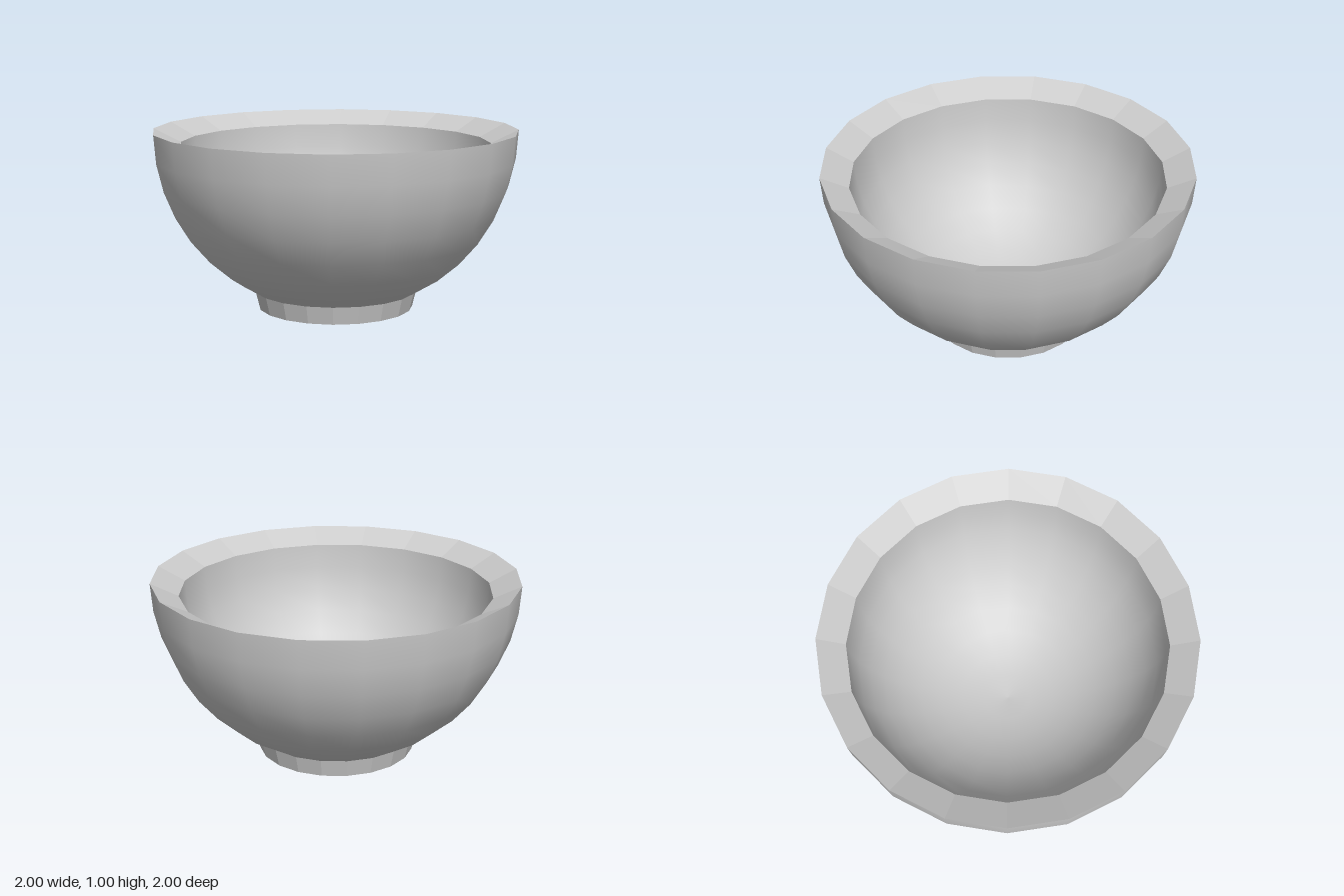
import * as THREE from 'three';

const SIDES = 20;
const STEP = Math.PI / 20; // angle between the rings of the bowl

// Points on a lower quarter circle, from ring `first` (0 = pole) up to the equator
function quarterArc(radius, centreY, first) {
  const points = [];
  for (let i = first; i <= 10; i++) {
    const r = i === 0 ? 0 : radius * Math.sin(i * STEP);
    points.push(new THREE.Vector2(r, centreY - radius * Math.cos(i * STEP)));
  }
  return points;
}

function turned(name, points, flatShading) {
  const material = new THREE.MeshStandardMaterial({ color: 0xcccccc, flatShading });
  const mesh = new THREE.Mesh(new THREE.LatheGeometry(points, SIDES), material);
  mesh.name = name;
  return mesh;
}

export function createModel() {
  const group = new THREE.Group();
  group.name = 'bowl';

  // Smooth outer and inner walls; the inner profile runs downward to face inward
  const outer = quarterArc(1, 1, 3);
  const inner = quarterArc(0.85, 0.925, 0).reverse();
  group.add(turned('outerWall', outer, false));
  group.add(turned('innerWall', inner, false));

  // Faceted rim sloping inward
  group.add(turned('rim', [outer[outer.length - 1], inner[0]], true));

  // Faceted foot with a very shallow point under its centre
  const foot = [
    new THREE.Vector2(0, 0),
    new THREE.Vector2(0.13, 0.01),
    new THREE.Vector2(0.43, 0.01),
    outer[0],
  ];
  group.add(turned('foot', foot, true));

  return group;
}
